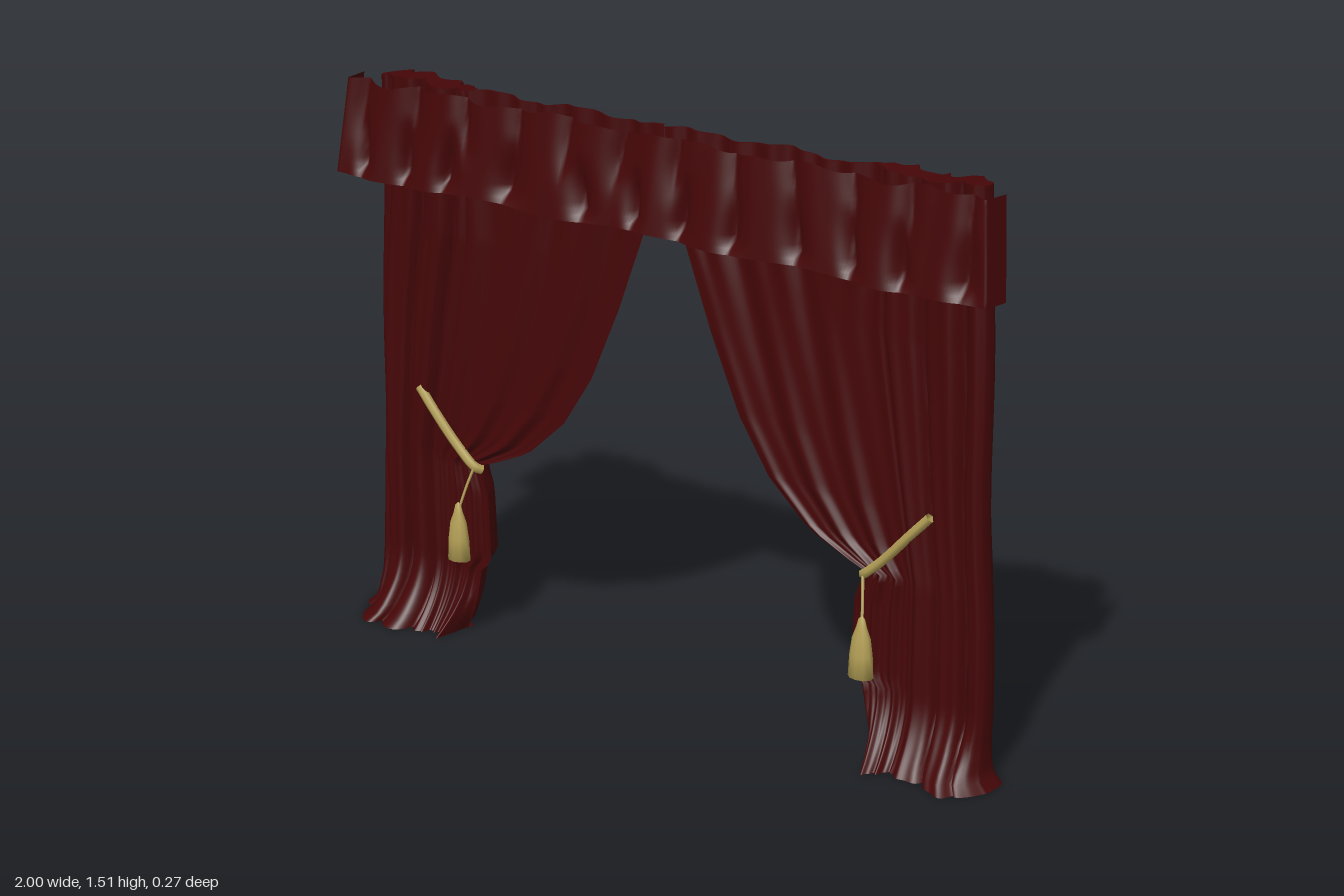
import * as THREE from 'three';

const velvet = new THREE.MeshStandardMaterial({ color: 0x450607, side: THREE.DoubleSide });
velvet.name = 'dark red velvet';
const gold = new THREE.MeshStandardMaterial({ color: 0xb39f55, side: THREE.DoubleSide });
gold.name = 'antique gold';

const { lerp, clamp, smoothstep } = THREE.MathUtils;

// Piecewise linear lookup in [key, value] pairs with rising keys
function lookup(table, k) {
  for (let i = 1; i < table.length; i++) {
    const [k0, v0] = table[i - 1], [k1, v1] = table[i];
    if (k <= k1) return lerp(v0, v1, clamp((k - k0) / (k1 - k0), 0, 1));
  }
  return table[table.length - 1][1];
}

// Smooth sheet from a rule point(u, v) -> [x, y, z]
function sheet(name, nu, nv, point) {
  const geo = new THREE.PlaneGeometry(1, 1, nu, nv);
  const pos = geo.attributes.position;
  for (let j = 0; j <= nv; j++)
    for (let i = 0; i <= nu; i++)
      pos.setXYZ(j * (nu + 1) + i, ...point(i / nu, j / nv));
  geo.computeVertexNormals();
  const mesh = new THREE.Mesh(geo, velvet);
  mesh.name = name;
  return mesh;
}

// Curtain outline by height: [y, value]
const INNER = [[0, 0.655], [0.05, 0.635], [0.1, 0.62], [0.18, 0.605], [0.21, 0.572], [0.4, 0.578], [0.48, 0.605],
  [0.5, 0.55], [0.55, 0.44], [0.66, 0.32], [0.8, 0.23], [1, 0.143], [1.26, 0.047], [1.36, 0.005], [1.5, 0]];
const OUTER = [[0, 0.995], [0.025, 0.965], [0.1, 0.955], [0.4, 0.955], [0.7, 0.943], [1.26, 0.922], [1.5, 0.92]];
const BACK = [[0, -0.112], [0.2, -0.12], [0.6, -0.103], [1, -0.083], [1.5, -0.064]];
const SPLIT = [[0, 0.74], [0.48, 0.74], [0.7, 0.7], [1.1, 0.63], [1.5, 0.62]];

// Cross-section of one curtain: front from inner to outer edge, then the gathered back
function curtainPoint(s, t, y) {
  const inner = lookup(INNER, y), outer = lookup(OUTER, y), split = lookup(SPLIT, y);
  const ph = s > 0 ? 0 : 1.7;
  const flare = Math.pow(clamp(1 - y / 0.19, 0, 1), 2);
  const wobble = 0.006 * Math.sin(7 * y + ph);
  let x, z;
  if (t < 0.65) {
    const f = t / 0.65;
    if (f < 0.55) {
      // swag with soft folds fanning out of the tieback, pleated at the rail
      const g = f / 0.55, pleat = smoothstep(y, 1.05, 1.5);
      x = lerp(inner, split, g);
      z = 0.006 * Math.sin(19 * g + ph + 0.8 * Math.sin(3 * y)) + 0.003 * Math.sin(37 * g + 2 * ph + y)
        + pleat * 0.009 * Math.sin(43 * g + ph + Math.sin(9 * g));
      z *= smoothstep(g, 0, 0.08);
      // the cloth leans back toward the rail
      z -= 0.014 * smoothstep(y, 0.5, 1.4) * (1 - smoothstep(g, 0.7, 1)) * smoothstep(g, 0, 0.2);
    } else {
      // upright outer pleats with a few deep creases
      const g = (f - 0.55) / 0.45;
      x = lerp(split, outer, g) + wobble * g;
      const crease = Math.abs(Math.sin(8.5 * g + ph + 0.25 * Math.sin(4 * y + ph)));
      z = 0.016 - 0.034 * Math.pow(1 - crease, 2) + 0.004 * Math.sin(21 * g + ph);
      z *= smoothstep(g, 0, 0.12);
    }
    const hem = smoothstep(f, 0, 0.15) * (1 - 0.75 * smoothstep(f, 0.86, 1));
    z += 0.005 + flare * 0.108 * (0.9 + 0.2 * Math.sin(8 * f + ph)) * hem;
    z -= 0.02 * smoothstep(f, 0.95, 1);
  } else {
    const g = (t - 0.65) / 0.35;
    const close = lerp(inner + 0.025, 0.62, smoothstep(y, 0.35, 0.55));
    const drift = 0.5 * Math.sin(3 * y) + ph;
    const edge = lerp(outer, Math.min(outer, 0.95), smoothstep(g, 0, 0.1));
    x = lerp(edge + wobble, close, g) + 0.01 * Math.sin(22 * g + 1.5) * Math.sin(Math.PI * g);
    const bulge = Math.min(1, 1.7 * Math.pow(Math.sin(Math.PI * g), 0.6));
    z = -0.016 + (lookup(BACK, y) + 0.024) * bulge
      + bulge * (0.011 * Math.sin(23 * g + drift) + 0.006 * Math.sin(39 * g + 2 * drift));
  }
  const ruffle = 0.006 * Math.sin(23 * x + ph) * smoothstep(y, 1.45, 1.5);
  return [s * x, y + ruffle + 0.006, z];
}

function curtain(s) {
  const g = new THREE.Group();
  g.name = s > 0 ? 'leftCurtain' : 'rightCurtain';
  g.add(sheet('drape', 200, 75, (u, v) => curtainPoint(s, u, 1.5 * (1 - v))));
  // Gathered fabric closing the top and the hem
  for (const [name, y] of [['topGather', 1.5], ['hemGather', 0]])
    g.add(sheet(name, 200, 1, (u, v) => {
      const p = curtainPoint(s, u, y);
      if (v) p[2] = lerp(p[2], -0.02, Math.abs(p[0]) > 0.6 ? 1 : 0.3);
      return p;
    }));

  // Rope tieback
  const tie = new THREE.Group();
  tie.name = 'tieback';
  const add = (name, geo) => {
    const m = new THREE.Mesh(geo, gold);
    m.name = name;
    tie.add(m);
    return m;
  };
  const path = pts => new THREE.CatmullRomCurve3(pts.map(([x, y, z]) => new THREE.Vector3(s * x, y, z)));
  add('rope', new THREE.TubeGeometry(path([[0.795, 0.672, 0.017], [0.74, 0.612, 0.021], [0.67, 0.535, 0.019],
    [0.612, 0.482, 0.014], [0.6, 0.474, 0]]), 24, 0.013, 6));
  add('cord', new THREE.TubeGeometry(path([[0.612, 0.48, 0.022], [0.622, 0.44, 0.036], [0.634, 0.38, 0.055]]), 8, 0.004, 5));
  // Tassel
  const profile = [[0, 0.165], [0.009, 0.155], [0.014, 0.135], [0.025, 0.105], [0.031, 0.06], [0.034, 0.002], [0, 0]]
    .reverse().map(([r, y]) => new THREE.Vector2(r, y));
  const tassel = add('tassel', new THREE.LatheGeometry(profile, 10));
  tassel.position.set(s * 0.636, 0.228, 0.06);
  tassel.scale.z = 0.75;
  g.add(tie);
  return g;
}

// Ruffled valance with a short return at each end
function valance() {
  const run = new THREE.CurvePath();
  const pts = [[-0.965, 0], [-0.955, 0.075], [0.955, 0.075], [0.965, 0]].map(p => new THREE.Vector3(p[0], 0, p[1]));
  for (let i = 0; i < 3; i++) run.add(new THREE.LineCurve3(pts[i], pts[i + 1]));
  return sheet('valance', 300, 16, (u, v) => {
    const p = run.getPoint(u), x = p.x;
    const mid = smoothstep(0.965 - Math.abs(x), 0, 0.05);
    // Narrow creases that fade in and out at different heights
    const crease = (k, shift, lean) => Math.pow(1 - Math.abs(Math.sin(k * x + shift + lean * v)), 2);
    const low = smoothstep(v, 0.25, 0.75) * (1 - 0.8 * smoothstep(v, 0.85, 1));
    const high = 1 - smoothstep(v, 0.2, 0.75);
    const fold = 0.006 * Math.sin(21 * x + 1.6 * Math.sin(8 * x) + 1.5 * v)
      - 0.036 * low * crease(19 + 2 * Math.sin(3 * x), 0.6, 0.6 * Math.sin(9 * x))
      - 0.022 * high * crease(19, 1.4, 0.6 * Math.sin(6 * x + 2));
    const top = 1.503 + 0.005 * Math.sin(17 * x) + 0.004 * Math.sin(41 * x + 1);
    const bottom = 1.258 + 0.004 * Math.sin(13 * x + 2) - 0.008 * Math.abs(x);
    return [x * (1 + 0.026 * v), lerp(top, bottom, v), p.z + 0.028 * v + 0.006 + fold * mid];
  });
}

export function createModel() {
  const model = new THREE.Group();
  model.name = 'drapedCurtains';
  model.add(curtain(1), curtain(-1), valance());
  return model;
}
